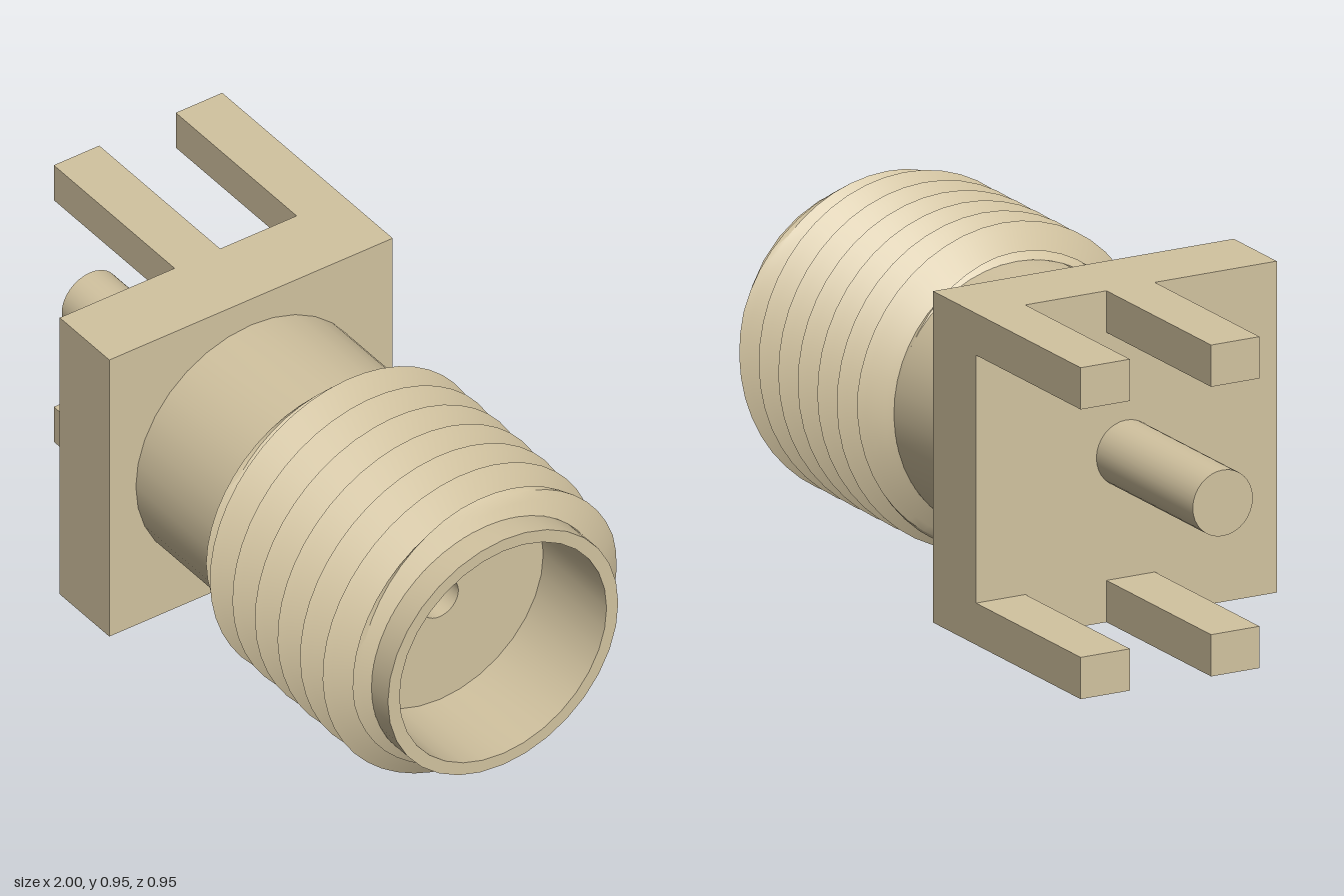
import * as THREE from 'three';
import { toCreasedNormals } from 'three/addons/utils/BufferGeometryUtils.js';

const HALF = 0.476;   // half the flange width; also the height of the axis
const ROOT = 0.387, CREST = 0.475, PITCH = 0.1067;
const T0 = 0.172, T1 = 0.922; // thread start and end

// Radius of the V-thread, tapered at both ends; phase 0 is a crest
function threadRadius(x, phase) {
  const v = Math.abs(1 - 2 * (phase - Math.floor(phase)));
  const vee = ROOT + (CREST - ROOT) * v;
  return Math.min(vee, ROOT + 1.5 * (x - T0), ROOT + 1.8 * (T1 - x));
}

// Grid sheared along the helix so that crests and roots follow its columns
function threadGeometry() {
  const around = 48, sub = 8, first = -2 * sub, last = 8 * sub;
  const rows = last - first + 1;
  const pos = [], index = [];
  for (let j = 0; j <= around; j++) {
    const a = (j / around) * Math.PI * 2;
    for (let k = first; k <= last; k++) {
      const raw = 0.255 + PITCH * (k / sub + j / around);
      const x = THREE.MathUtils.clamp(raw, T0, T1);
      const r = threadRadius(x, (x - 0.255) / PITCH - j / around);
      pos.push(x, r * Math.cos(a), r * Math.sin(a));
    }
  }
  const tri = (a, b, c) => {
    const xs = [a, b, c].map((i) => pos[i * 3]);
    if (Math.max(...xs) - Math.min(...xs) > 1e-6) index.push(a, b, c);
  };
  for (let j = 0; j < around; j++) {
    for (let k = 0; k < rows - 1; k++) {
      const a = j * rows + k, b = a + rows;
      tri(a, b, a + 1);
      tri(b, b + 1, a + 1);
    }
  }
  const g = new THREE.BufferGeometry();
  g.setAttribute('position', new THREE.Float32BufferAttribute(pos, 3));
  g.setIndex(index);
  return toCreasedNormals(g, 0.5);
}

export function createModel() {
  const model = new THREE.Group();
  model.name = 'threadedEdgeConnector';
  const material = new THREE.MeshStandardMaterial({ color: 0xd2c3a0 });

  const add = (name, geometry, x = 0, y = 0, z = 0) => {
    const mesh = new THREE.Mesh(geometry, material);
    mesh.name = name;
    mesh.position.set(x, y, z);
    model.add(mesh);
    return mesh;
  };
  const box = (name, x0, x1, y0, y1, z0, z1) =>
    add(name, new THREE.BoxGeometry(x1 - x0, y1 - y0, z1 - z0),
      (x0 + x1) / 2, (y0 + y1) / 2, (z0 + z1) / 2);

  // Square flange
  box('flange', -0.428, -0.193, 0, 2 * HALF, -HALF, HALF);

  // Four mounting legs: a pair at the back edge and a pair near the middle
  for (const [y0, y1, level] of [[0, 0.12, 'lower'], [2 * HALF - 0.12, 2 * HALF, 'upper']]) {
    box(level + 'BackLeg', -1, -0.428, y0, y1, -HALF, -0.32);
    box(level + 'MiddleLeg', -1, -0.428, y0, y1, -0.063, 0.09);
  }

  // Solder pin
  const pin = add('solderPin', new THREE.CylinderGeometry(0.095, 0.095, 0.527, 32), -0.6915, HALF, 0);
  pin.rotation.z = -Math.PI / 2;

  // Hollow barrel with a contact socket; it is narrowed under the thread
  const profile = [
    [ROOT, -0.193], [ROOT, T0 + 0.005], [0.375, T0 + 0.01], [0.375, T1 - 0.01], [ROOT, T1 - 0.005],
    [ROOT, 1], [0.348, 1], [0.348, 0.7], [0.063, 0.7], [0.063, 0.4], [0, 0.4],
  ].map(([r, h]) => new THREE.Vector2(r, h));
  const barrel = add('barrel', toCreasedNormals(new THREE.LatheGeometry(profile, 32), 0.5), 0, HALF, 0);
  barrel.rotation.z = -Math.PI / 2;

  // Helical screw thread
  add('screwThread', threadGeometry(), 0, HALF, 0);

  return model;
}
